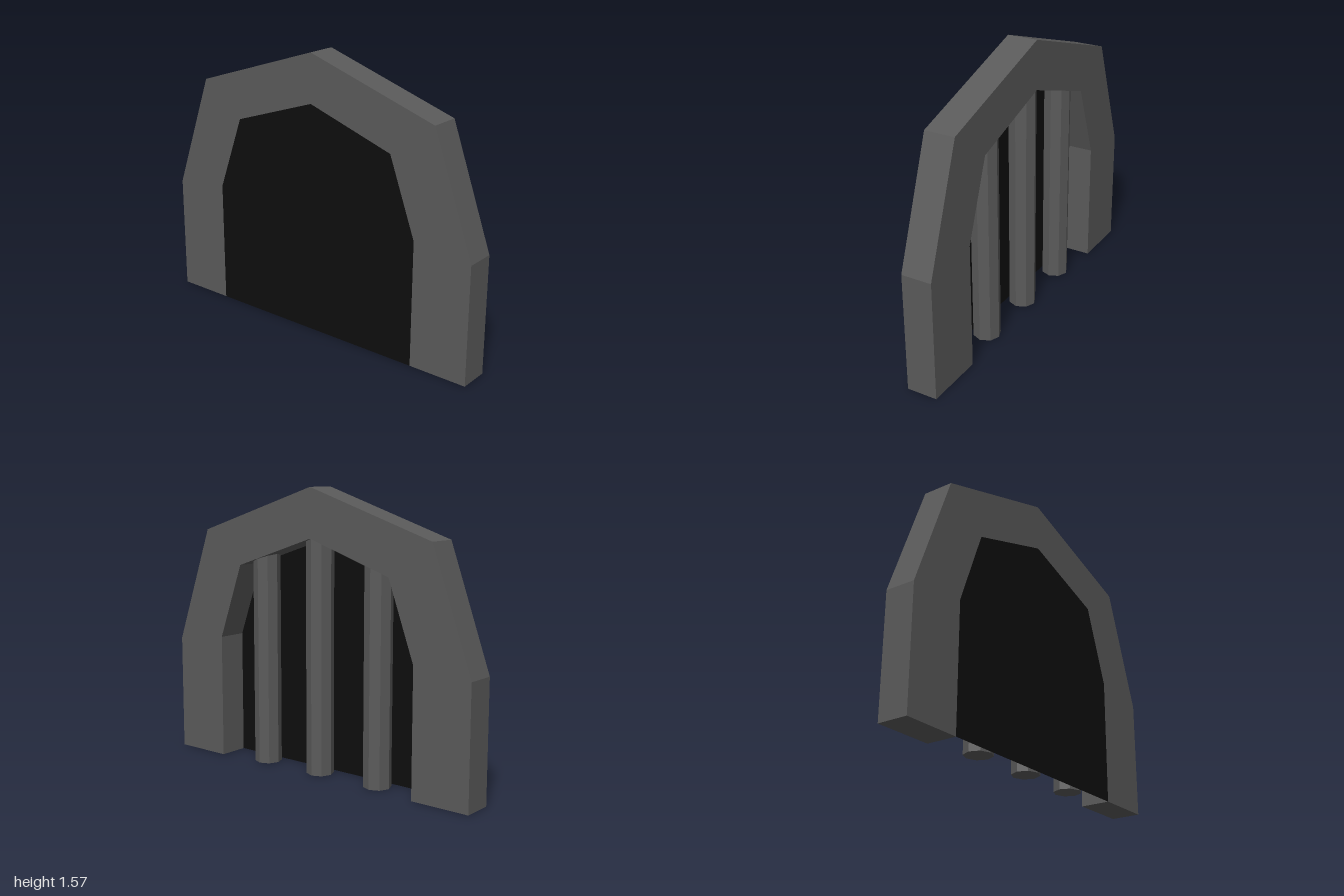
import * as THREE from 'three';

const HALF = 0.085; // half the thickness of the frame

// Right half of each arch outline, from the ground up to the apex
const OUTER = [[1, 0], [1, 0.66], [0.765, 1.315], [0, 1.565]];
const INNER = [[0.665, 0], [0.665, 0.7], [0.51, 1.125], [0, 1.295]];

const mirror = (half) => [...half, ...half.slice(0, -1).reverse().map(([u, v]) => [-u, v])];
const toShape = (points) => new THREE.Shape(points.map(([u, v]) => new THREE.Vector2(u, v)));

export function createModel() {
  const stone = new THREE.MeshStandardMaterial({ color: 0x5a5a5a, flatShading: true });
  stone.name = 'grey stone';
  const dark = new THREE.MeshStandardMaterial({ color: 0x0e0e0e, side: THREE.DoubleSide });
  dark.name = 'dark opening';

  const model = new THREE.Group();
  model.name = 'barredArch';
  const add = (name, geometry, material) => {
    const mesh = new THREE.Mesh(geometry, material);
    mesh.name = name;
    model.add(mesh);
    return mesh;
  };

  // Faceted arch: one closed outline running up the outside and down the inside
  const outline = toShape([...mirror(OUTER), ...mirror(INNER).reverse()]);
  const frame = new THREE.ExtrudeGeometry(outline, { depth: HALF * 2, bevelEnabled: false });
  frame.translate(0, 0, -HALF).rotateY(Math.PI / 2);
  add('archFrame', frame, stone);

  // Dark sheet closing the opening, flush with the rear face
  const panel = new THREE.ShapeGeometry(toShape(mirror(INNER)));
  panel.rotateY(Math.PI / 2).translate(-HALF, 0, 0);
  add('backPanel', panel, dark);

  // Octagonal bars, their tops sunk into the arch
  for (const [name, z, height] of [['frontBar', 0.385, 1.22], ['middleBar', 0, 1.34], ['rearBar', -0.39, 1.22]]) {
    const bar = new THREE.CylinderGeometry(0.076, 0.076, height, 8);
    add(name, bar, stone).position.set(0, height / 2, z);
  }
  return model;
}
